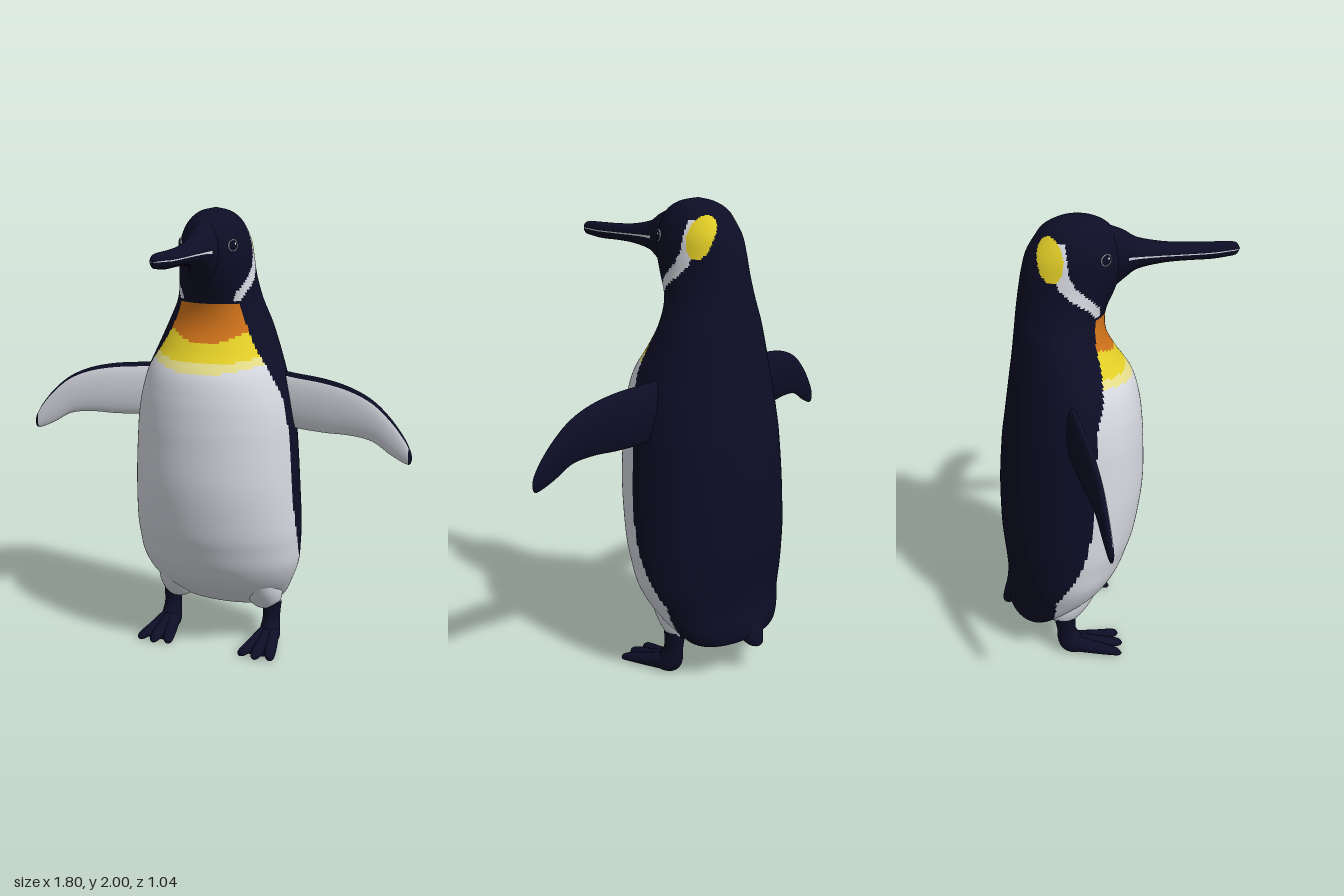
import * as THREE from 'three';

const mat = (name, color) => Object.assign(new THREE.MeshStandardMaterial({ color }), { name });
const NAVY = 0, WHITE = 1, YELLOW = 2, ORANGE = 3, PALE = 4;

// Piecewise linear lookup in [[t, value], ...]
function lookup(pts, t) {
  for (let i = 1; i < pts.length; i++) {
    const [a, va] = pts[i - 1], [b, vb] = pts[i];
    if (t <= b) return va + (vb - va) * Math.max(0, (t - a) / (b - a));
  }
  return pts[pts.length - 1][1];
}

// Smooth curve through rows of numbers
function sample(rows, u) {
  const i = Math.min(Math.floor(u), rows.length - 2), s = u - i;
  const row = (k) => rows[Math.max(0, Math.min(rows.length - 1, k))];
  return rows[0].map((_, c) => {
    const p0 = row(i - 1)[c], p1 = row(i)[c], p2 = row(i + 1)[c], p3 = row(i + 2)[c];
    return p1 + 0.5 * s * (p2 - p0 + s * (2 * p0 - 5 * p1 + 4 * p2 - p3 + s * (3 * (p1 - p2) + p3 - p0)));
  });
}

// Elliptical loft. Rows are [t, half width, low, high]; place maps (t, u, v) to xyz;
// paint picks the material of each cell from its position and angle.
function loft(name, rows, place, mats, paint, steps = 6, segs = 32) {
  const n = (rows.length - 1) * steps, pos = [], lists = mats.map(() => []);
  for (let i = 0; i <= n; i++) {
    const [t, w, lo, hi] = sample(rows, i / steps);
    for (let j = 0; j < segs; j++) {
      const a = (j / segs) * Math.PI * 2;
      pos.push(...place(t, w * Math.cos(a), (lo + hi) / 2 + (hi - lo) / 2 * Math.sin(a)));
    }
  }
  const o = new THREE.Vector3(...place(0, 0, 0));
  const [et, eu, ev] = [[1, 0, 0], [0, 1, 0], [0, 0, 1]].map((e) => new THREE.Vector3(...place(...e)).sub(o));
  const flip = et.dot(eu.cross(ev)) < 0;
  for (let i = 0; i < n; i++) for (let j = 0; j < segs; j++) {
    const k = (j + 1) % segs;
    const a = i * segs + j, b = i * segs + k, c = a + segs, d = b + segs;
    const mid = [0, 1, 2].map((x) => (pos[a * 3 + x] + pos[b * 3 + x] + pos[c * 3 + x] + pos[d * 3 + x]) / 4);
    const m = paint ? paint(mid, ((j + 0.5) / segs) * Math.PI * 2) : 0;
    lists[m].push(...(flip ? [a, c, b, b, c, d] : [a, b, c, b, d, c]));
  }
  const geo = new THREE.BufferGeometry();
  geo.setAttribute('position', new THREE.Float32BufferAttribute(pos, 3));
  geo.setIndex(lists.flat());
  let start = 0;
  lists.forEach((l, m) => { if (l.length) geo.addGroup(start, l.length, m); start += l.length; });
  geo.computeVertexNormals();
  const mesh = new THREE.Mesh(geo, mats);
  mesh.name = name;
  return mesh;
}

// Plumage markings
const FRONT_EDGE = [[0.15, -0.27], [0.2, -0.3], [0.35, -0.29], [0.4, -0.26], [0.5, -0.2], [0.6, -0.16],
  [0.7, -0.135], [0.8, -0.12], [1, -0.115], [1.2, -0.1], [1.3, -0.07], [1.4, -0.07], [1.5, -0.09], [1.6, -0.085]];
const STRIPE_FRONT = [[1.61, -0.065], [1.65, -0.065], [1.7, -0.11], [1.75, -0.165], [1.8, -0.19], [1.92, -0.2]];
const STRIPE_BACK = [[1.61, -0.085], [1.65, -0.115], [1.7, -0.185], [1.75, -0.235], [1.8, -0.24], [1.92, -0.225]];
function plumage([x, y, z]) {
  if (y > 1.595) {
    if (((z + 0.26) / 0.05) ** 2 + ((y - 1.855) / 0.085) ** 2 < 1) return YELLOW;
    const inStripe = y > 1.61 && y < 1.92 && z < lookup(STRIPE_FRONT, y) && z > lookup(STRIPE_BACK, y);
    return inStripe ? WHITE : NAVY;
  }
  if (z < lookup(FRONT_EDGE, y)) return NAVY;
  if (y > 1.43 + 1.75 * x * x) return ORANGE;
  if (y > 1.35 + 0.5 * x * x) return YELLOW;
  return y > 1.31 + 0.6 * x * x ? PALE : WHITE;
}

export function createModel() {
  const model = new THREE.Group();
  model.name = 'penguin';
  const mats = [mat('navy', 0x0d0d26), mat('white', 0xd8dae2), mat('yellow', 0xe8d328),
    mat('orange', 0xd2741a), mat('paleYellow', 0xe8e08c)];
  const upright = (t, u, v) => [u, t, v];

  // Body and head: [y, half width, back z, front z]
  model.add(loft('body', [
    [0.145, 0, -0.38, -0.36], [0.15, 0.21, -0.475, -0.26], [0.2, 0.28, -0.495, -0.17], [0.3, 0.335, -0.488, -0.04],
    [0.4, 0.373, -0.492, 0.03], [0.5, 0.384, -0.5, 0.07], [0.6, 0.388, -0.505, 0.1], [0.8, 0.38, -0.502, 0.13],
    [1, 0.368, -0.485, 0.13], [1.1, 0.358, -0.47, 0.125], [1.2, 0.34, -0.455, 0.113], [1.3, 0.312, -0.44, 0.085],
    [1.4, 0.275, -0.425, 0.02], [1.5, 0.235, -0.412, -0.028], [1.6, 0.19, -0.4, -0.03], [1.7, 0.166, -0.385, 0.012],
    [1.78, 0.158, -0.37, 0.035], [1.85, 0.15, -0.35, 0.035], [1.91, 0.13, -0.315, 0.015], [1.955, 0.1, -0.28, -0.015],
    [1.985, 0.06, -0.22, -0.07], [2, 0, -0.152, -0.148],
  ], upright, mats, plumage, 9, 160));

  // Beak: [z, half width, low y, high y], with a pale line along each side
  model.add(loft('beak', [
    [-0.06, 0.095, 1.66, 1.965], [0, 0.077, 1.69, 1.945], [0.05, 0.067, 1.73, 1.923], [0.1, 0.06, 1.765, 1.892],
    [0.2, 0.05, 1.785, 1.87], [0.3, 0.043, 1.79, 1.862], [0.4, 0.035, 1.79, 1.86], [0.47, 0.027, 1.797, 1.859],
    [0.505, 0.018, 1.804, 1.853], [0.52, 0, 1.826, 1.83],
  ], (t, u, v) => [u, v, t], mats, (p, a) => (p[2] > 0.06 && Math.abs(Math.sin(a)) < 0.05 ? WHITE : NAVY), 6, 96));

  // Tail
  model.add(loft('tail', [
    [0.115, 0, -0.51, -0.5], [0.125, 0.035, -0.52, -0.47], [0.16, 0.06, -0.515, -0.42],
    [0.24, 0.085, -0.495, -0.4], [0.36, 0.05, -0.48, -0.42],
  ], upright, mats));

  for (const side of [1, -1]) {
    const label = side > 0 ? 'left' : 'right';

    // Wing, white on its front face inside a dark leading edge
    model.add(loft(label + 'Wing', [
      [0.26, 0.03, 1.07, 1.305], [0.36, 0.032, 1.05, 1.295], [0.5, 0.03, 1.045, 1.283], [0.62, 0.026, 1.048, 1.257],
      [0.72, 0.022, 1.035, 1.212], [0.8, 0.018, 0.99, 1.145], [0.86, 0.014, 0.962, 1.073],
      [0.89, 0.01, 0.957, 1.02], [0.9, 0, 0.98, 0.988],
    ], (t, u, v) => [side * t, v, -0.19 + (t - 0.37) * 0.15 + u], mats,
    (p, a) => (Math.cos(a) > 0.1 && Math.sin(a) < 0.85 && Math.abs(p[0]) < 0.885 ? WHITE : NAVY), 7, 80));

    // Thigh bulge
    model.add(loft(label + 'Thigh', [
      [0.155, 0, -0.26, -0.25], [0.165, 0.045, -0.3, -0.205], [0.2, 0.075, -0.33, -0.168],
      [0.27, 0.085, -0.33, -0.12], [0.34, 0.07, -0.3, -0.1], [0.4, 0, -0.2, -0.18],
    ], (t, u, v) => [side * 0.215 + u, t, v], mats, plumage, 6, 48));

    // Leg and webbed foot
    const foot = new THREE.Group();
    foot.name = label + 'Foot';
    foot.position.x = side * 0.25;
    foot.add(loft('leg', [
      [0, 0, -0.22, -0.21], [0.005, 0.035, -0.25, -0.16], [0.03, 0.05, -0.273, -0.14], [0.07, 0.045, -0.284, -0.17],
      [0.12, 0.04, -0.285, -0.2], [0.2, 0.045, -0.3, -0.2],
    ], upright, mats));
    foot.add(loft('web', [
      [-0.24, 0, 0.005, 0.02], [-0.2, 0.045, 0, 0.05], [-0.12, 0.06, 0, 0.038],
      [-0.05, 0.07, 0, 0.02], [-0.03, 0, 0.005, 0.012],
    ], (t, u, v) => [u, v, t], mats));
    for (const s of [-1, 0, 1]) {
      foot.add(loft('toe', [
        [-0.24, 0.02, 0.005, 0.06], [-0.2, 0.035, 0, 0.083], [-0.1, 0.032, 0, 0.055], [-0.03, 0.026, 0, 0.038],
        [0, 0.018, 0, 0.028], [0.013, 0, 0.006, 0.012],
      ], (t, u, v) => [s * 0.28 * (t + 0.24) + u, v, t - Math.abs(s) * 0.012], mats));
    }
    model.add(foot);

    // Eye: dark dome, thin pale rim and glint
    const eye = new THREE.Group();
    eye.name = label + 'Eye';
    eye.position.set(side * 0.119, 1.85, -0.04);
    eye.rotation.y = side * 1.03;
    const dome = new THREE.Mesh(new THREE.SphereGeometry(0.022, 20, 14), mats[NAVY]);
    dome.name = 'pupil';
    dome.scale.z = 0.4;
    const rim = new THREE.Mesh(new THREE.TorusGeometry(0.023, 0.003, 6, 28), mats[WHITE]);
    rim.name = 'rim';
    const glint = new THREE.Mesh(new THREE.SphereGeometry(0.006, 10, 8), mats[WHITE]);
    glint.name = 'glint';
    glint.position.set(0.007, 0.006, 0.006);
    glint.scale.z = 0.5;
    eye.add(dome, rim, glint);
    model.add(eye);
  }
  return model;
}
